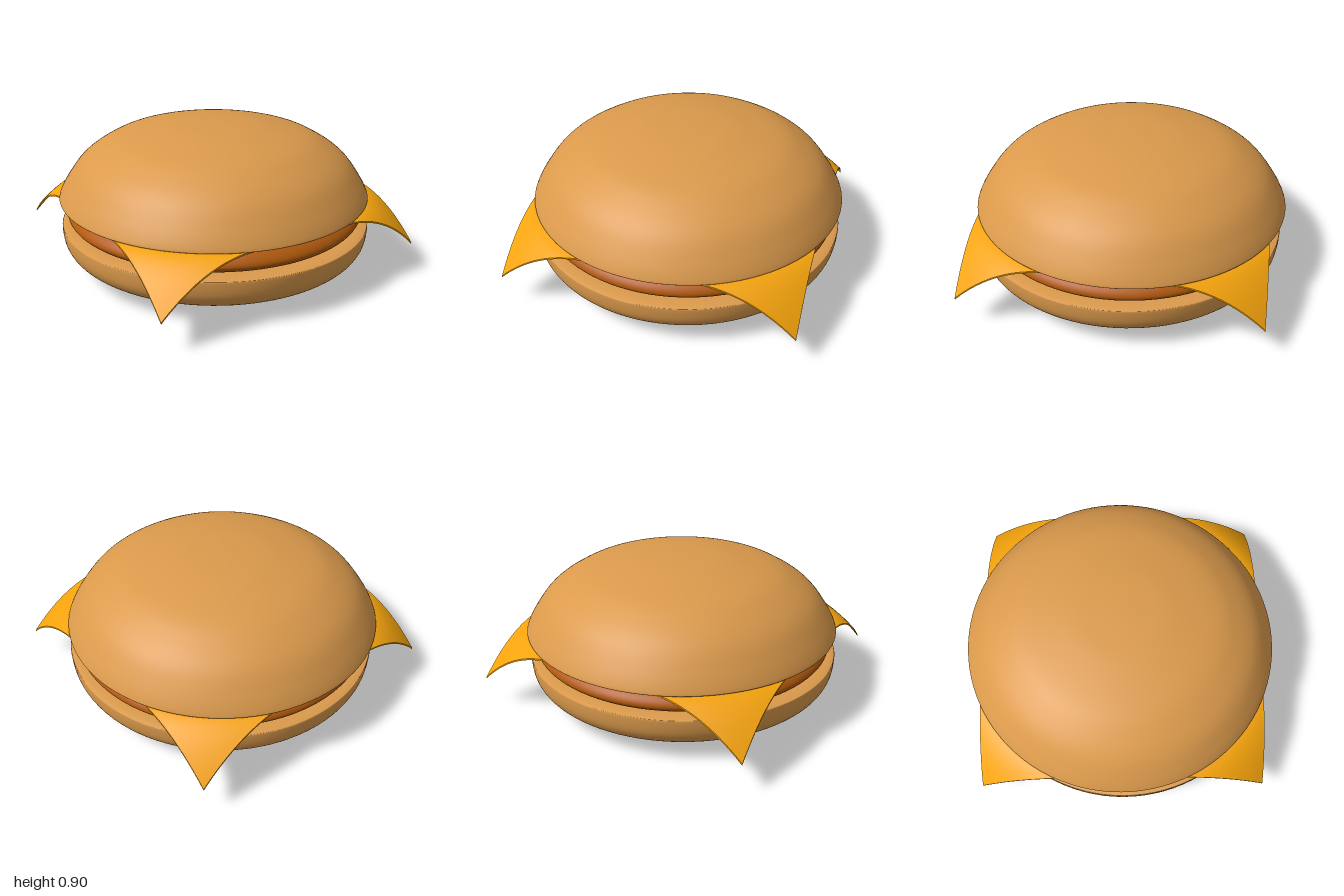
import * as THREE from 'three';

const BUN = 0xdb9a4c, PATTY = 0xb25a0c, CHEESE = 0xf5a30c;

// Smooth lathe: flat discs close the ends, a spline rounds the side (points run bottom to top)
function turned(name, color, points, z = 0) {
  const curve = new THREE.SplineCurve(points.map(([r, y]) => new THREE.Vector2(r, y)));
  const profile = curve.getPoints(60);
  profile.forEach(p => { p.x = Math.max(p.x, 0); });
  const first = profile[0], last = profile[profile.length - 1];
  if (first.x > 0) profile.unshift(new THREE.Vector2(0, first.y), new THREE.Vector2(first.x - 0.01, first.y));
  if (last.x > 0) profile.push(new THREE.Vector2(last.x - 0.01, last.y), new THREE.Vector2(0, last.y));
  const mesh = new THREE.Mesh(
    new THREE.LatheGeometry(profile, 96),
    new THREE.MeshStandardMaterial({ color }));
  mesh.name = name;
  mesh.position.z = z;
  return mesh;
}

// Thin square slice whose corners droop beyond the bun
function cheeseSlice() {
  const geo = new THREE.BoxGeometry(1.8, 0.01, 1.8, 64, 1, 64);
  const pos = geo.attributes.position;
  for (let i = 0; i < pos.count; i++) {
    const r = Math.hypot(pos.getX(i), pos.getZ(i));
    const t = Math.max(0, (r - 0.96) / 0.313);
    pos.setY(i, pos.getY(i) + 0.45 - 0.26 * Math.pow(t, 1.65));
  }
  geo.computeVertexNormals();
  const mesh = new THREE.Mesh(geo, new THREE.MeshStandardMaterial({ color: CHEESE }));
  mesh.name = 'cheeseSlice';
  return mesh;
}

export function createModel() {
  const group = new THREE.Group();
  group.name = 'cheeseburger';

  group.add(turned('bottomBun', BUN, [
    [0, 0.003], [0.3, 0.008], [0.6, 0.028], [0.8, 0.063], [0.92, 0.115],
    [0.975, 0.185], [0.988, 0.28], [0.975, 0.296], [0.93, 0.302],
  ], 0.007));

  group.add(turned('patty', PATTY, [
    [0.86, 0.3], [0.915, 0.315], [0.945, 0.35], [0.925, 0.39], [0.87, 0.425], [0.8, 0.443],
  ]));

  group.add(cheeseSlice());

  group.add(turned('topBun', BUN, [
    [0.95, 0.456], [0.975, 0.457], [0.988, 0.466], [0.94, 0.555], [0.85, 0.674],
    [0.73, 0.763], [0.58, 0.832], [0.32, 0.885], [0.12, 0.899], [0, 0.902],
  ], -0.01));

  return group;
}
